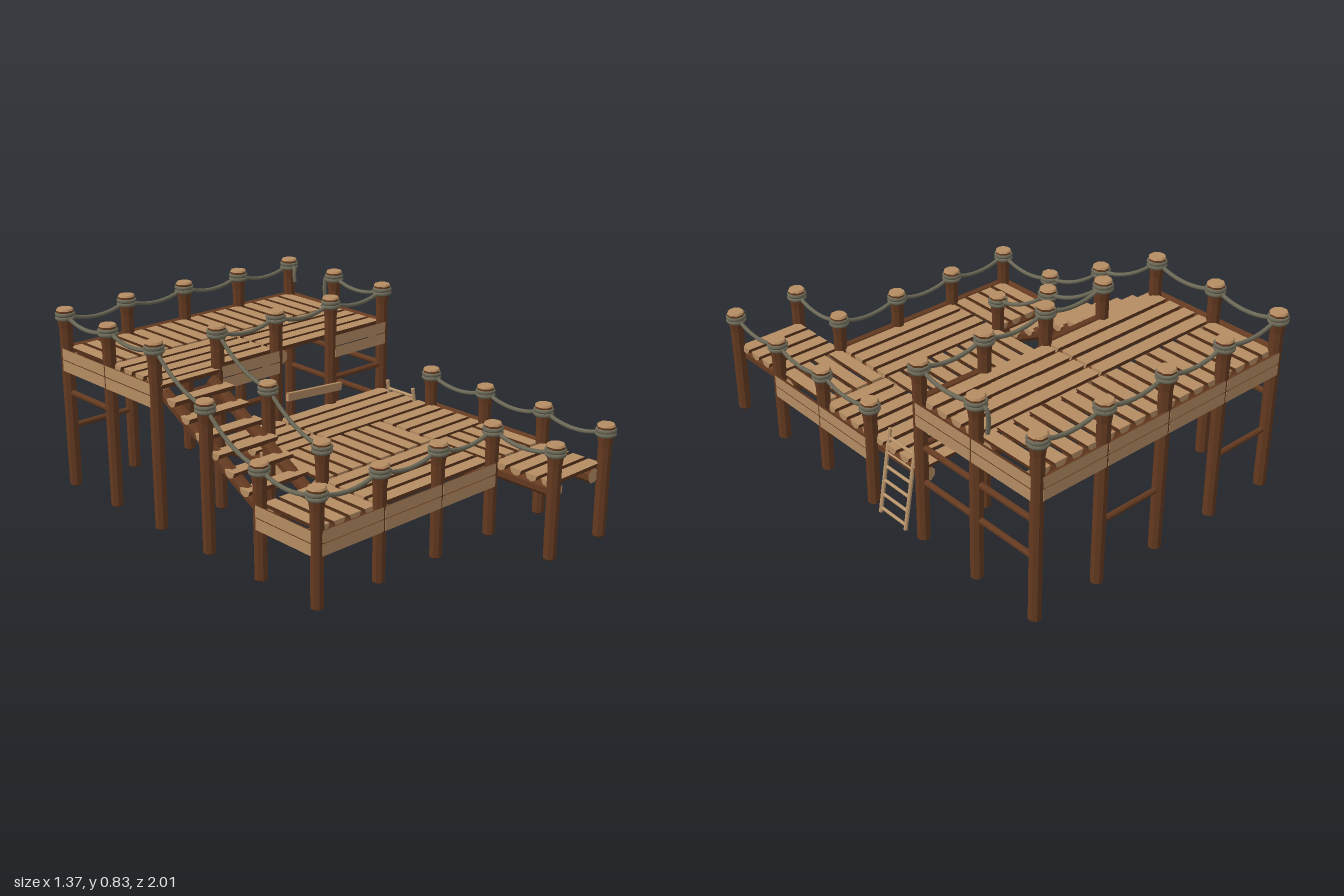
import * as THREE from 'three';

const mat = (name, color) => Object.assign(new THREE.MeshStandardMaterial({ color }), { name });
const wood = mat('cut wood', 0xb58c62);
const bark = mat('bark', 0x643a20);
const rope = mat('rope', 0x6d6a58);
const pale = mat('ladder wood', 0xb8946a);

const V = (x, y, z) => new THREE.Vector3(x, y, z);
const P = 0.32; // post spacing
const LOW = 0.337, HIGH = 0.657; // deck heights

// faceted normals
const facet = (g) => {
  const f = g.index ? g.toNonIndexed() : g;
  f.computeVertexNormals();
  return f;
};

function add(parent, name, geo, material) {
  const m = new THREE.Mesh(geo, material);
  m.name = name;
  parent.add(m);
  return m;
}

// eight-sided log from a to b with cut ends
function log(parent, name, a, b, r, mats = [bark, wood, wood]) {
  const d = b.clone().sub(a);
  const g = new THREE.CylinderGeometry(r, r, d.length(), 8);
  g.rotateY(Math.PI / 8);
  const m = add(parent, name, facet(g), mats);
  m.position.copy(a).add(b).multiplyScalar(0.5);
  m.quaternion.setFromUnitVectors(V(0, 1, 0), d.normalize());
}

// split log: flat cut face towards "normal", bark on the round back
function halfLog(parent, name, center, axis, normal, len, r) {
  const g = new THREE.Group();
  g.name = name;
  add(g, 'roundBack', facet(new THREE.CylinderGeometry(r, r, len, 4, 1, false, 0, Math.PI)), [bark, wood, wood]);
  add(g, 'cutFace', new THREE.PlaneGeometry(2 * r, len).rotateY(-Math.PI / 2), wood);
  const X = normal.clone().negate();
  g.quaternion.setFromRotationMatrix(new THREE.Matrix4().makeBasis(X, axis, X.clone().cross(axis)));
  g.position.copy(center);
  parent.add(g);
}

// pointed post with cut top and two rope lashings
function post(parent, i, k, top) {
  const g = new THREE.Group();
  g.name = 'post';
  const pts = [[0, 0], [0.027, 0.018], [0.029, top - 0.09], [0.036, top - 0.04], [0.038, top - 0.01], [0.034, top]]
    .map(([x, y]) => new THREE.Vector2(x, y));
  add(g, 'shaft', facet(new THREE.LatheGeometry(pts, 8, Math.PI / 8)), bark);
  const cap = add(g, 'cutTop', new THREE.CylinderGeometry(0.034, 0.039, 0.008, 8).rotateY(Math.PI / 8), wood);
  cap.position.y = top - 0.003;
  for (const dy of [0.024, 0.041]) {
    const ring = add(g, 'lashing', new THREE.TorusGeometry(0.035, 0.0095, 6, 16).rotateX(Math.PI / 2), rope);
    ring.position.y = top - dy;
  }
  g.position.set(i * P, 0, k * P);
  parent.add(g);
}

function tube(parent, name, pts) {
  add(parent, name, new THREE.TubeGeometry(new THREE.CatmullRomCurve3(pts), 12, 0.009, 6), rope);
}

// deck bay in post units; planks run along "dir", two joists cross beneath
function bay(parent, x0, x1, z0, z1, top, dir) {
  const alongX = dir === 'x';
  const [a0, a1, b0, b1] = (alongX ? [x0, x1, z0, z1] : [z0, z1, x0, x1]).map((v) => v * P);
  const at = (a, y, b) => (alongX ? V(a, y, b) : V(b, y, a));
  const n = Math.round((b1 - b0) / 0.08);
  for (let i = 0; i < n; i++) {
    halfLog(parent, 'plank', at((a0 + a1) / 2, top, b0 + (i + 0.5) * 0.08), at(1, 0, 0), V(0, 1, 0), a1 - a0 - 0.015, 0.03);
  }
  for (const a of [a0 + 0.045, a1 - 0.045]) {
    log(parent, 'joist', at(a, top - 0.05, b0 + 0.015), at(a, top - 0.05, b1 - 0.015), 0.033);
  }
}

// pair of split-log fascia boards over one post spacing
function fascia(parent, x, z, top, normal) {
  const axis = normal.x ? V(0, 0, 1) : V(1, 0, 0);
  for (const dy of [0.025, 0.078]) halfLog(parent, 'fasciaBoard', V(x, top - dy, z), axis, normal, 0.312, 0.0245);
}

export function createModel() {
  const root = new THREE.Group();
  root.name = 'woodenPlatform';
  const section = (name) => {
    const g = new THREE.Group();
    g.name = name;
    root.add(g);
    return g;
  };

  // posts
  const posts = section('posts');
  const height = {};
  const rows = [
    [-3, [-2, -1, 0, 1, 2], 0.83], [-2, [-2, 2], 0.83], [-1, [-2, -1, 0, 1, 2], 0.83],
    [0, [-2, -1], 0.665], [0, [2], 0.505], [1, [-2, -1, 2], 0.505],
    [2, [-2, -1, 0, 1, 2], 0.505], [3, [1, 2], 0.505],
  ];
  for (const [k, xs, h] of rows) {
    for (const i of xs) {
      height[`${i},${k}`] = h;
      post(posts, i, k, h);
    }
  }

  // decks
  const upper = section('upperDeck');
  for (const x of [-2, 0]) {
    bay(upper, x, x + 2, -3, -2, HIGH, 'z');
    bay(upper, x, x + 2, -2, -1, HIGH, 'x');
  }
  const lower = section('lowerDeck');
  bay(lower, -1, 0, -1, 0, LOW, 'x');
  bay(lower, 0, 2, -1, 0, LOW, 'x');
  bay(lower, -1, 1, 0, 1, LOW, 'z');
  bay(lower, 1, 2, 0, 1, LOW, 'x');
  bay(lower, -2, -1, 1, 2, LOW, 'z');
  bay(lower, -1, 1, 1, 2, LOW, 'x');
  bay(lower, 1, 2, 1, 2, LOW, 'z');
  bay(lower, 1, 2, 2, 3, LOW, 'x');

  // fascia boards around the decks
  const edge = section('fascia');
  const out = 0.668;
  for (const i of [-1.5, -0.5, 0.5, 1.5]) fascia(edge, i * P, -0.988, HIGH, V(0, 0, -1));
  for (const i of [-0.5, 1.5]) fascia(edge, i * P, -0.292, HIGH, V(0, 0, 1));
  for (const i of [-1.5, -0.5, 0.5]) fascia(edge, i * P, out, LOW, V(0, 0, 1));
  for (const s of [-1, 1]) {
    for (const k of [-2.5, -1.5]) fascia(edge, s * out, k * P, HIGH, V(s, 0, 0));
    fascia(edge, s * out, 1.5 * P, LOW, V(s, 0, 0));
  }
  fascia(edge, out, 0.5 * P, LOW, V(1, 0, 0));

  // stairs
  const stairs = section('stairs');
  for (const x of [-0.6, -0.36]) log(stairs, 'stringer', V(x, 0.285, 0.29), V(x, 0.6, -0.31), 0.029);
  for (let i = 0; i < 7; i++) {
    halfLog(stairs, 'step', V(-0.48, 0.355 + i * 0.049, 0.22 - i * 0.09), V(1, 0, 0), V(0, 1, 0), 0.305, 0.03);
  }

  // cross rails between the tall posts
  const rails = section('crossRails');
  const rail = (x0, z0, x1, z1, y) => log(rails, 'crossRail', V(x0 * P, y, z0 * P), V(x1 * P, y, z1 * P), 0.013);
  for (const k of [-3, -2]) {
    rail(2, k, 2, k + 1, 0.452);
    rail(2, k, 2, k + 1, 0.292);
  }
  rail(-2, -3, -2, -2, 0.452);
  rail(-1, -1, 0, -1, 0.45);
  rail(1, -1, 2, -1, 0.45);
  rail(0, -3, 1, -3, 0.292);
  rail(-2, -3, -1, -3, 0.292);
  const loose = add(rails, 'looseBoard', new THREE.BoxGeometry(0.32, 0.036, 0.015), wood);
  loose.position.set(0.19, 0.428, -0.285);
  loose.rotation.z = -0.07;

  // leaning ladder
  const ladder = section('ladder');
  const lean = (y) => 0.672 - y * 0.17;
  for (const z of [-0.08, -0.24]) log(ladder, 'ladderRail', V(lean(0.02), 0.02, z), V(lean(0.395), 0.395, z), 0.009, pale);
  for (let i = 0; i < 6; i++) {
    const y = 0.04 + i * 0.063;
    log(ladder, 'rung', V(lean(y), y, -0.08), V(lean(y), y, -0.24), 0.007, pale);
  }

  // sagging handrail ropes from post to post
  const ropes = section('handrailRopes');
  const runs = [
    [[2, -3], [1, -3], [0, -3], [-1, -3], [-2, -3], [-2, -2], [-2, -1], [-2, 0], [-2, 1], [-2, 2],
      [-1, 2], [0, 2], [1, 2], [1, 3]],
    [[2, -2], [2, -1], [1, -1], [0, -1], [-1, -1], [-1, 0], [-1, 1]],
    [[2, 0], [2, 1], [2, 2], [2, 3]],
  ];
  for (const run of runs) {
    for (let i = 1; i < run.length; i++) {
      const [a, b] = [run[i - 1], run[i]].map(([x, z]) => V(x * P, height[`${x},${z}`] - 0.03, z * P));
      const pts = [0, 0.25, 0.5, 0.75, 1].map((t) => {
        const p = a.clone().lerp(b, t);
        p.y -= 0.14 * t * (1 - t);
        return p;
      });
      tube(ropes, 'sagRope', pts);
    }
  }

  // torn rope ends
  tube(ropes, 'tornRope', [V(0.64, 0.8, -0.66), V(0.635, 0.79, -0.69), V(0.63, 0.74, -0.695), V(0.63, 0.685, -0.69)]);
  tube(ropes, 'tornRope', [V(0.64, 0.8, -0.94), V(0.63, 0.79, -0.91), V(0.62, 0.76, -0.9), V(0.62, 0.73, -0.895)]);

  return root;
}
